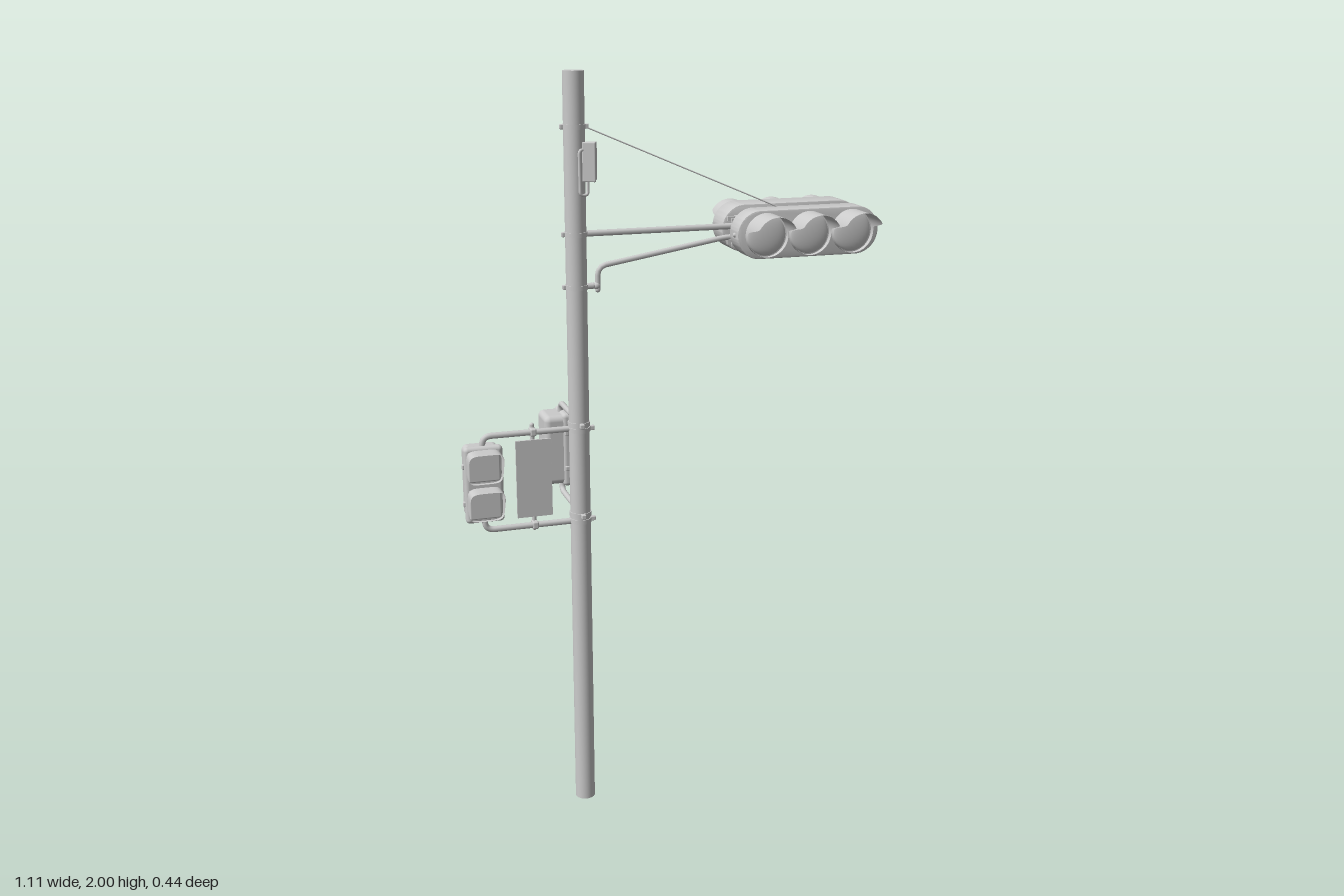
import * as THREE from 'three';
import { toCreasedNormals } from 'three/addons/utils/BufferGeometryUtils.js';
import { RoundedBoxGeometry } from 'three/addons/geometries/RoundedBoxGeometry.js';
import { ParametricGeometry } from 'three/addons/geometries/ParametricGeometry.js';

const grey = new THREE.MeshStandardMaterial({ color: 0xcccccc });
const greyDouble = new THREE.MeshStandardMaterial({ color: 0xcccccc, side: THREE.DoubleSide });
const PX = -0.243, PZ = 0.037; // pole axis

function add(parent, name, geometry, x = 0, y = 0, z = 0, material = grey) {
  const mesh = new THREE.Mesh(geometry, material);
  mesh.name = name;
  mesh.position.set(x, y, z);
  parent.add(mesh);
  return mesh;
}

// Tube through points, with rounded corners and capped by small spheres
function pipe(parent, name, points, radius, bend = 0.025) {
  const p = points.map(a => new THREE.Vector3(...a));
  const path = new THREE.CurvePath();
  let from = p[0];
  for (let i = 1; i < p.length - 1; i++) {
    const a = p[i].clone().add(p[i - 1].clone().sub(p[i]).setLength(bend));
    const b = p[i].clone().add(p[i + 1].clone().sub(p[i]).setLength(bend));
    path.add(new THREE.LineCurve3(from, a));
    path.add(new THREE.QuadraticBezierCurve3(a, p[i], b));
    from = b;
  }
  path.add(new THREE.LineCurve3(from, p[p.length - 1]));
  add(parent, name, new THREE.TubeGeometry(path, p.length > 2 ? 64 : 2, radius, 10));
  for (const end of [p[0], p[p.length - 1]])
    add(parent, name + 'End', new THREE.SphereGeometry(radius, 10, 8), end.x, end.y, end.z);
}

// Open visor: superellipse section whose length depends on height (-1 bottom, 1 top)
function hoodGeometry(rx, ry, power, lengthAt) {
  return new ParametricGeometry((u, v, out) => {
    const t = u * Math.PI * 2, c = Math.cos(t), s = Math.sin(t);
    const k = Math.pow(Math.abs(c) ** power + Math.abs(s) ** power, -1 / power);
    out.set(rx * c * k, ry * s * k, v * lengthAt(s * k));
  }, 64, 4);
}

function stadiumGeometry(halfLength, radius, depth, bevel) {
  const r = radius - bevel, c = halfLength - radius;
  const shape = new THREE.Shape();
  shape.absarc(c, 0, r, -Math.PI / 2, Math.PI / 2, false);
  shape.absarc(-c, 0, r, Math.PI / 2, Math.PI * 1.5, false);
  shape.closePath();
  const g = new THREE.ExtrudeGeometry(shape, {
    depth: depth - 2 * bevel, bevelEnabled: true, bevelSize: bevel,
    bevelThickness: bevel, bevelSegments: 2, curveSegments: 24 });
  g.translate(0, 0, bevel);
  return toCreasedNormals(g, 0.6);
}

// Three-lamp head facing +z, back face at z = inner
function trafficHead(inner, outer) {
  const head = new THREE.Group();
  add(head, 'headHousing', stadiumGeometry(0.196, 0.0625, outer - inner, 0.004), 0, 0, inner);
  const reach = 0.18 - outer;
  const hood = hoodGeometry(0.056, 0.056, 2,
    s => 0.016 + (reach - 0.016) * THREE.MathUtils.smoothstep(s, 0.12, 0.5));
  for (const x of [-0.119, 0, 0.119]) {
    add(head, 'lampHood', hood, x, 0, outer - 0.001, greyDouble);
    add(head, 'lampLens', new THREE.SphereGeometry(0.053, 32, 16), x, 0, outer).scale.z = 0.2;
  }
  for (const x of [-0.196, 0.196])
    add(head, 'headLatch', new THREE.SphereGeometry(0.006, 10, 8), x, 0, (inner + outer) / 2 + 0.01);
  return head;
}

// Two-lamp pedestrian signal facing +z, mounting axis at its origin
function pedestrianSignal() {
  const signal = new THREE.Group();
  add(signal, 'signalHousing', new RoundedBoxGeometry(0.094, 0.196, 0.066, 4, 0.016), 0, 0, -0.022);
  add(signal, 'signalDoor', new RoundedBoxGeometry(0.102, 0.208, 0.026, 4, 0.011), 0, 0, 0.006);
  const hood = hoodGeometry(0.046, 0.045, 5, s => 0.035 + 0.019 * s);
  for (const y of [-0.051, 0.051]) {
    add(signal, 'signalHood', hood, 0, y, 0.014, greyDouble);
    add(signal, 'signalLens', new RoundedBoxGeometry(0.084, 0.082, 0.008, 3, 0.004), 0, y, 0.018);
    for (const x of [-0.052, 0.052])
      add(signal, 'doorLatch', new RoundedBoxGeometry(0.008, 0.014, 0.012, 2, 0.003), x, y, 0.004);
  }
  return signal;
}

export function createModel() {
  const model = new THREE.Group();
  model.name = 'trafficSignalPole';

  // Pole and its clamps
  add(model, 'pole', new THREE.CylinderGeometry(0.027, 0.027, 2, 32), PX, 1, PZ);
  for (const y of [1.865, 1.598, 1.463, 1.1, 1.085, 0.85, 0.832]) {
    add(model, 'poleClamp', new THREE.CylinderGeometry(0.0295, 0.0295, 0.012, 32), PX, y, PZ);
  }
  for (const y of [1.865, 1.598, 1.463])
    for (const s of [-1, 1])
      add(model, 'clampBolt', new RoundedBoxGeometry(0.012, 0.012, 0.012, 2, 0.002), PX + s * 0.031, y, PZ);
  for (const y of [1.1, 0.85])
    add(model, 'clampBolt', new RoundedBoxGeometry(0.012, 0.012, 0.014, 2, 0.002), PX, y, PZ + 0.034);
  for (const y of [1.085, 0.832])
    add(model, 'clampBolt', new RoundedBoxGeometry(0.014, 0.012, 0.012, 2, 0.002), PX + 0.034, y, PZ);

  // Arm, brace and stay wire
  pipe(model, 'mainArm', [[PX, 1.598, PZ], [0.545, 1.598, PZ]], 0.008);
  pipe(model, 'braceArm', [[PX, 1.463, PZ], [-0.2, 1.463, PZ]], 0.008);
  pipe(model, 'braceArm', [[-0.187, 1.452, PZ], [-0.187, 1.512, PZ], [0.16, 1.57, PZ], [0.54, 1.572, PZ]], 0.007);
  pipe(model, 'stayWire', [[PX + 0.025, 1.865, PZ], [0.355, 1.62, 0.07]], 0.0018);
  add(model, 'braceJoint', new THREE.SphereGeometry(0.01, 12, 8), -0.19, 1.463, PZ);

  // Head mounting rails
  for (const s of [-1, 1])
    for (const y of [1.553, 1.615])
      add(model, 'mountingRail', new THREE.BoxGeometry(0.37, 0.012, 0.007), 0.355, y, PZ + s * 0.016);
  for (const x of [0.2, 0.51])
    add(model, 'mountingBracket', new THREE.BoxGeometry(0.02, 0.075, 0.06), x, 1.585, PZ);

  // Back-to-back three-lamp heads
  const front = trafficHead(0.033, 0.096);
  front.name = 'frontTrafficHead';
  front.position.set(0.354, 1.587, PZ);
  const back = trafficHead(0.021, 0.101);
  back.name = 'backTrafficHead';
  back.position.copy(front.position);
  back.rotation.y = Math.PI;
  model.add(front, back);

  // Control box with cable loop
  const box = new THREE.Group();
  box.name = 'controlBox';
  box.position.set(-0.207, 1.78, 0.055);
  box.rotation.y = -0.45;
  add(box, 'boxBody', new RoundedBoxGeometry(0.028, 0.095, 0.036, 2, 0.003));
  add(box, 'boxLid', new RoundedBoxGeometry(0.034, 0.098, 0.008, 2, 0.003), 0, 0, 0.016);
  model.add(box);
  pipe(model, 'controlCable', [[-0.215, 1.74, 0.06], [-0.216, 1.698, 0.063],
    [-0.237, 1.698, 0.067], [-0.238, 1.81, 0.067], [-0.215, 1.81, 0.06]], 0.004, 0.01);

  // Pedestrian signals, each held by an upper and a lower bent arm
  const side = pedestrianSignal();
  side.name = 'sidePedestrianSignal';
  side.position.set(-0.502, 0.96, PZ);
  const rear = pedestrianSignal();
  rear.name = 'rearPedestrianSignal';
  rear.position.set(PX, 0.978, -0.165);
  rear.rotation.y = Math.PI / 2;
  model.add(side, rear);
  for (const [y, inY] of [[1.087, 1.04], [0.83, 0.88]])
    pipe(model, 'sideSignalArm', [[PX, y, PZ], [-0.502, y, PZ], [-0.502, inY, PZ]], 0.008);
  for (const [y, inY] of [[1.103, 1.06], [0.849, 0.9]])
    pipe(model, 'rearSignalArm', [[PX, y, PZ], [PX, y, -0.165], [PX, inY, -0.165]], 0.008);

  // Flat sign panel on a vertical rod
  add(model, 'signPanel', new THREE.BoxGeometry(0.095, 0.212, 0.006), -0.367, 0.96, PZ);
  pipe(model, 'signRod', [[-0.367, 0.817, 0.025], [-0.367, 1.103, 0.025]], 0.006);
  for (const y of [0.9, 1.02])
    for (const x of [-0.392, -0.342])
      add(model, 'signBolt', new THREE.SphereGeometry(0.004, 8, 6), x, y, PZ - 0.003);
  for (const y of [1.087, 0.83])
    add(model, 'rodClamp', new RoundedBoxGeometry(0.016, 0.02, 0.03, 2, 0.004), -0.367, y, 0.032);

  return model;
}
